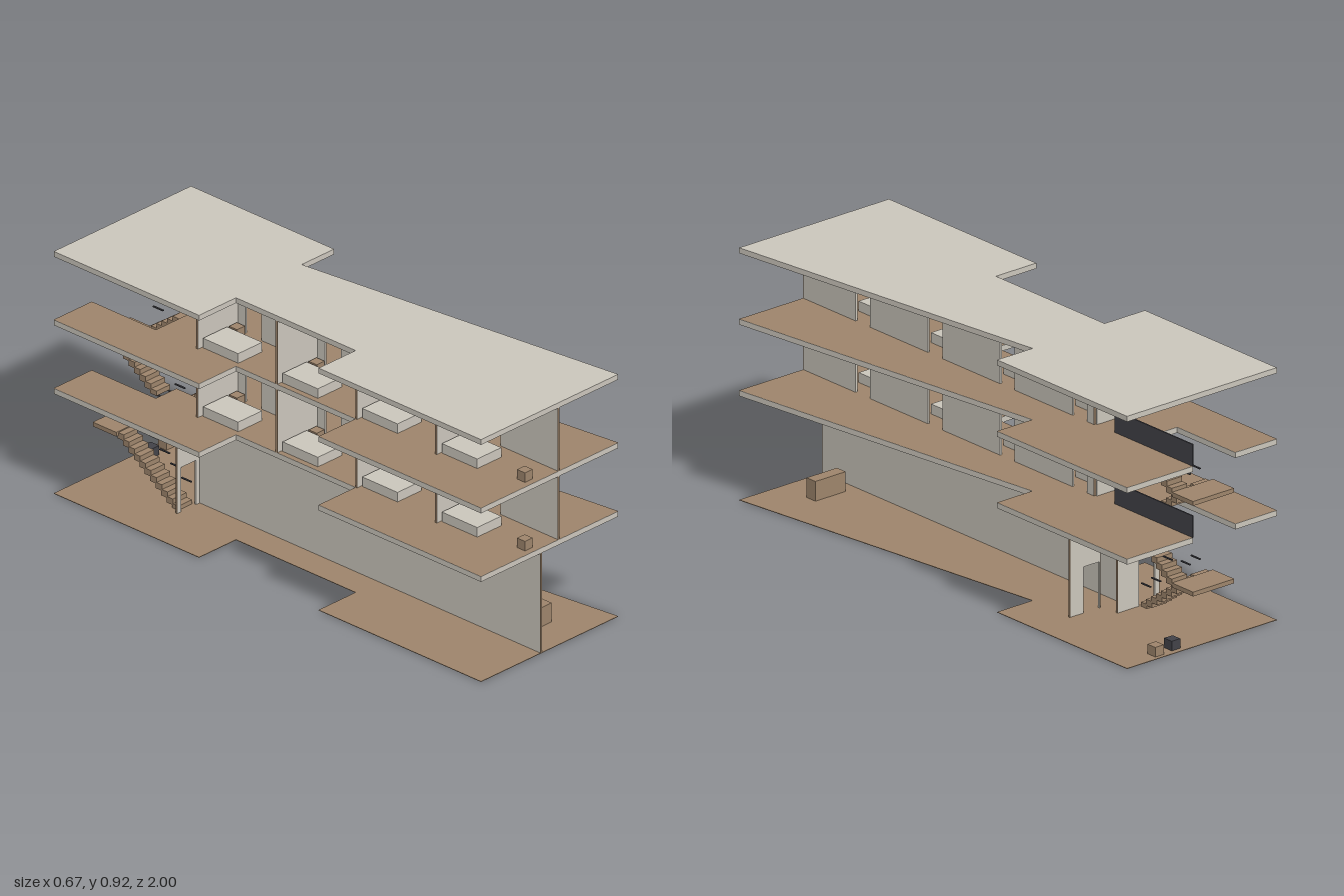
import * as THREE from 'three';

const mat = (name, color) => {
  const m = new THREE.MeshStandardMaterial({ color });
  m.name = name;
  return m;
};

export function createModel() {
  const root = new THREE.Group();
  root.name = 'buildingSection';
  const plaster = mat('plaster', 0xcac5bb);
  const wood = mat('wood', 0x9d846b);
  const dark = mat('darkMetal', 0x424248);

  const box = (name, m, x0, x1, y0, y1, z0, z1) => {
    const mesh = new THREE.Mesh(new THREE.BoxGeometry(x1 - x0, y1 - y0, z1 - z0), m);
    mesh.position.set((x0 + x1) / 2, (y0 + y1) / 2, (z0 + z1) / 2);
    mesh.name = name;
    root.add(mesh);
  };

  // Floor outline in (x, z); the optional points cut the stairwell into the back edge
  const outline = (cut = []) => new THREE.Shape([
    [-0.335, 1], [0.333, 1], [0.175, -0.33], [0.333, -0.33], [0.333, -1], ...cut,
    [-0.335, -1], [-0.335, -0.32], [-0.155, -0.32], [-0.155, 0.24], [-0.335, 0.24],
  ].map(([x, z]) => new THREE.Vector2(x, -z)));

  const slab = (name, m, shape, y, h, finish) => {
    const geo = new THREE.ExtrudeGeometry(shape, { depth: h, bevelEnabled: false }).rotateX(-Math.PI / 2);
    const mesh = new THREE.Mesh(geo, m);
    mesh.position.y = y;
    mesh.name = name;
    root.add(mesh);
    if (!finish) return;
    const top = new THREE.Mesh(new THREE.ShapeGeometry(shape).rotateX(-Math.PI / 2), finish);
    top.position.y = y + h + 0.0008;
    top.name = name + 'Finish';
    root.add(top);
  };

  // Slabs
  slab('groundFloor', wood, outline(), 0, 0.002);
  slab('firstFloor', plaster,
    outline([[0.038, -1], [0.038, -0.61], [-0.05, -0.61], [-0.05, -0.7], [-0.15, -0.7], [-0.15, -1]]), 0.38, 0.02, wood);
  slab('secondFloor', plaster, outline([[0.038, -1], [0.038, -0.7], [-0.15, -0.7], [-0.15, -1]]), 0.64, 0.02, wood);
  slab('roof', plaster, outline(), 0.9, 0.02);

  // Ground floor long wall with a timber end
  box('groundWall', plaster, -0.045, -0.037, 0, 0.38, -0.6, 0.998);
  box('groundWallEnd', wood, -0.045, -0.037, 0, 0.38, 0.998, 1);

  // Stair wall with a doorway
  box('stairWallSide', plaster, -0.153, -0.135, 0, 0.38, -0.604, -0.596);
  box('stairWallSide', plaster, -0.062, 0.031, 0, 0.38, -0.604, -0.596);
  box('stairWallLintel', plaster, -0.135, -0.062, 0.17, 0.38, -0.604, -0.596);
  // Entrance wall with a doorway
  box('entranceWallPost', plaster, 0.045, 0.048, 0, 0.38, -0.528, -0.52);
  box('entranceWallSide', plaster, 0.12, 0.178, 0, 0.38, -0.528, -0.52);
  box('entranceWallLintel', plaster, 0.048, 0.12, 0.17, 0.38, -0.528, -0.52);
  // Timber ends of both walls
  box('stairWallEnd', wood, -0.155, -0.153, 0, 0.38, -0.604, -0.596);
  box('stairWallEnd', wood, 0.031, 0.033, 0, 0.38, -0.604, -0.596);
  box('entranceWallEnd', wood, 0.043, 0.045, 0, 0.38, -0.528, -0.52);
  box('entranceWallEnd', wood, 0.178, 0.18, 0, 0.38, -0.528, -0.52);

  // Ground floor furniture
  box('counter', wood, 0.012, 0.147, 0, 0.074, 0.822, 0.867);
  box('woodSeat', wood, 0.156, 0.194, 0, 0.037, -0.985, -0.945);
  box('darkSeat', dark, 0.078, 0.116, 0, 0.037, -0.98, -0.94);

  // Upper storeys: four rooms along a corridor wall with doorways
  for (const y of [0.4, 0.66]) {
    const top = y + 0.24;
    let z = 0.998;
    for (let i = 0; i < 4; i++) {
      const s = -0.373 * i;
      box('corridorWall', plaster, 0.04, 0.048, y, top, 0.73 + s, z);
      box('corridorLintel', plaster, 0.04, 0.048, y + 0.17, top, 0.655 + s, 0.73 + s);
      z = 0.655 + s;
      box('partition', plaster, -0.153, 0.04, y, top, 0.612 + s, 0.62 + s);
      box('partitionEnd', wood, -0.155, -0.153, y, top, 0.612 + s, 0.62 + s);
      box('bed', plaster, -0.135, -0.018, y, y + 0.037, 0.625 + s, 0.79 + s);
      box('stool', wood, -0.01, 0.028, y, y + 0.037, 0.627 + s, 0.665 + s);
      box('stool', wood, -0.097, -0.06, y, y + 0.037, 0.94 + s, 0.977 + s);
    }
    box('corridorWall', plaster, 0.04, 0.048, y, top, -0.498, z);
    box('corridorWallEnd', wood, 0.04, 0.048, y, top, -0.5, -0.498);
    box('corridorWallEnd', wood, 0.04, 0.048, y, top, 0.998, 1);
    // Stairwell guard and its post
    box('guardPanel', dark, 0.036, 0.041, y, y + 0.08, -1, -0.6);
    box('guardPost', dark, 0.036, 0.041, y, top, -0.604, -0.598);
  }

  // Stairs: one flight out to the landing, one flight back
  const run = 0.0255;
  const staircase = (y0, y1, n) => {
    const rise = (y1 - y0) / (2 * n);
    const mid = (y0 + y1) / 2;
    const zFar = -0.89;
    const zNear = zFar + n * run;
    box('landing', wood, -0.145, 0.038, mid - 0.012, mid + 0.004, -1, zFar);
    for (let i = 0; i < n; i++) {
      const a = y0 + (i + 1) * rise;
      const za = zNear - i * run;
      box('lowerStep', wood, -0.135, -0.068, Math.max(a - 0.023, y0), a, za - run - 0.004, za);
      const b = mid + (i + 1) * rise;
      const zb = zFar + i * run;
      box('upperStep', wood, -0.03, 0.038, b - 0.023, b, zb, zb + run + 0.004);
      // Short handrail bars on every second step
      if (i % 2) continue;
      box('handrailBar', dark, -0.073, -0.067, a + 0.066, a + 0.07, za - 0.047, za);
      box('handrailBar', dark, 0.032, 0.038, b + 0.066, b + 0.07, zb, zb + 0.047);
    }
  };
  staircase(0, 0.395, 11);
  staircase(0.4, 0.655, 7);

  return root;
}
